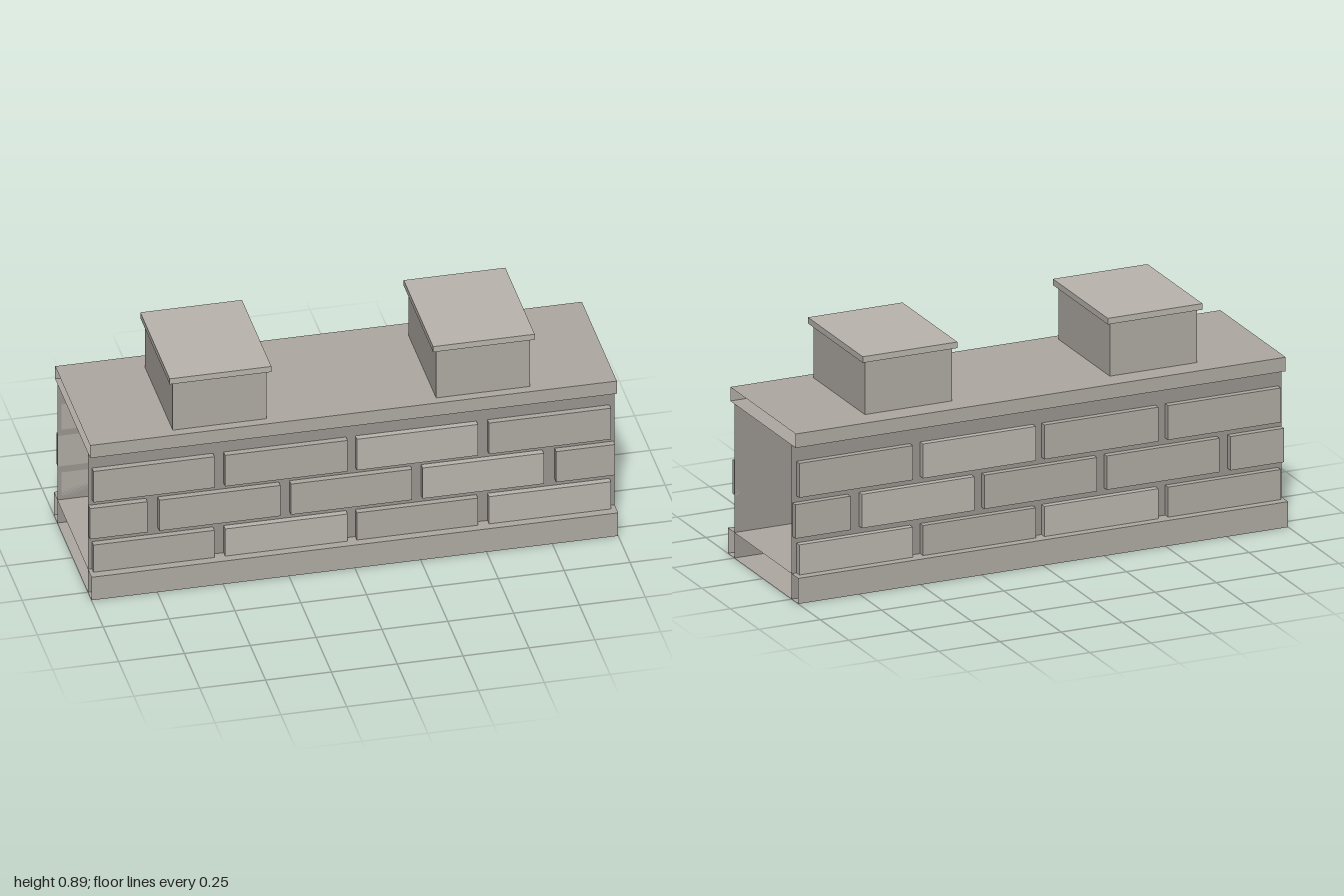
import * as THREE from 'three';

const material = (color, side = THREE.FrontSide) =>
  new THREE.MeshStandardMaterial({ color, side, flatShading: true });

// Box given by its limits; skipping leading indices leaves faces open
// (12 drops both x ends, 24 also drops top and bottom).
function block(name, [x0, x1], [y0, y1], [z0, z1], mat, skip = 0) {
  const geometry = new THREE.BoxGeometry(x1 - x0, y1 - y0, z1 - z0);
  if (skip) {
    geometry.setIndex(Array.from(geometry.index.array).slice(skip));
    geometry.clearGroups();
  }
  const mesh = new THREE.Mesh(geometry, mat);
  mesh.name = name;
  mesh.position.set((x0 + x1) / 2, (y0 + y1) / 2, (z0 + z1) / 2);
  return mesh;
}

export function createModel() {
  const model = new THREE.Group();
  model.name = 'brickBarrier';

  const stone = material(0xaea9a2, THREE.DoubleSide);
  const mortar = material(0x98948f, THREE.DoubleSide);
  const brickDark = material(0xaea9a2);
  const brickLight = material(0xb9b5ae);
  const length = [-1, 1];

  // Open-ended wall segment: plinth, two wall faces and coping
  model.add(block('plinth', length, [0, 0.1], [-0.308, 0.308], stone, 12));
  model.add(block('wall', length, [0, 0.605], [-0.25, 0.25], mortar, 24));
  model.add(block('coping', length, [0.605, 0.66], [-0.286, 0.286], stone, 12));

  // Brick courses in running bond on both faces
  const full = [[-0.985, -0.525], [-0.485, -0.02], [0.015, 0.475], [0.517, 0.98]];
  const offset = [[-0.998, -0.78], [-0.735, -0.275], [-0.235, 0.225], [0.265, 0.725], [0.772, 0.996]];
  const courses = [
    { y: [0.085, 0.218], spans: full, light: [1, 3] },
    { y: [0.245, 0.378], spans: offset, light: [3] },
    { y: [0.403, 0.538], spans: full, light: [2] },
  ];
  const bricks = new THREE.Group();
  bricks.name = 'bricks';
  for (const z of [[0.25, 0.275], [-0.275, -0.25]]) {
    for (const { y, spans, light } of courses) {
      spans.forEach((x, i) =>
        bricks.add(block('brick', x, y, z, light.includes(i) ? brickLight : brickDark)));
    }
  }
  model.add(bricks);

  // Two capped merlons on the coping
  for (const x of [-0.5, 0.5]) {
    const merlon = new THREE.Group();
    merlon.name = 'merlon';
    merlon.add(block('merlonBody', [x - 0.178, x + 0.178], [0.66, 0.87], [-0.2, 0.25], brickDark));
    merlon.add(block('merlonCap', [x - 0.193, x + 0.193], [0.87, 0.894], [-0.215, 0.265], brickLight));
    model.add(merlon);
  }
  return model;
}
